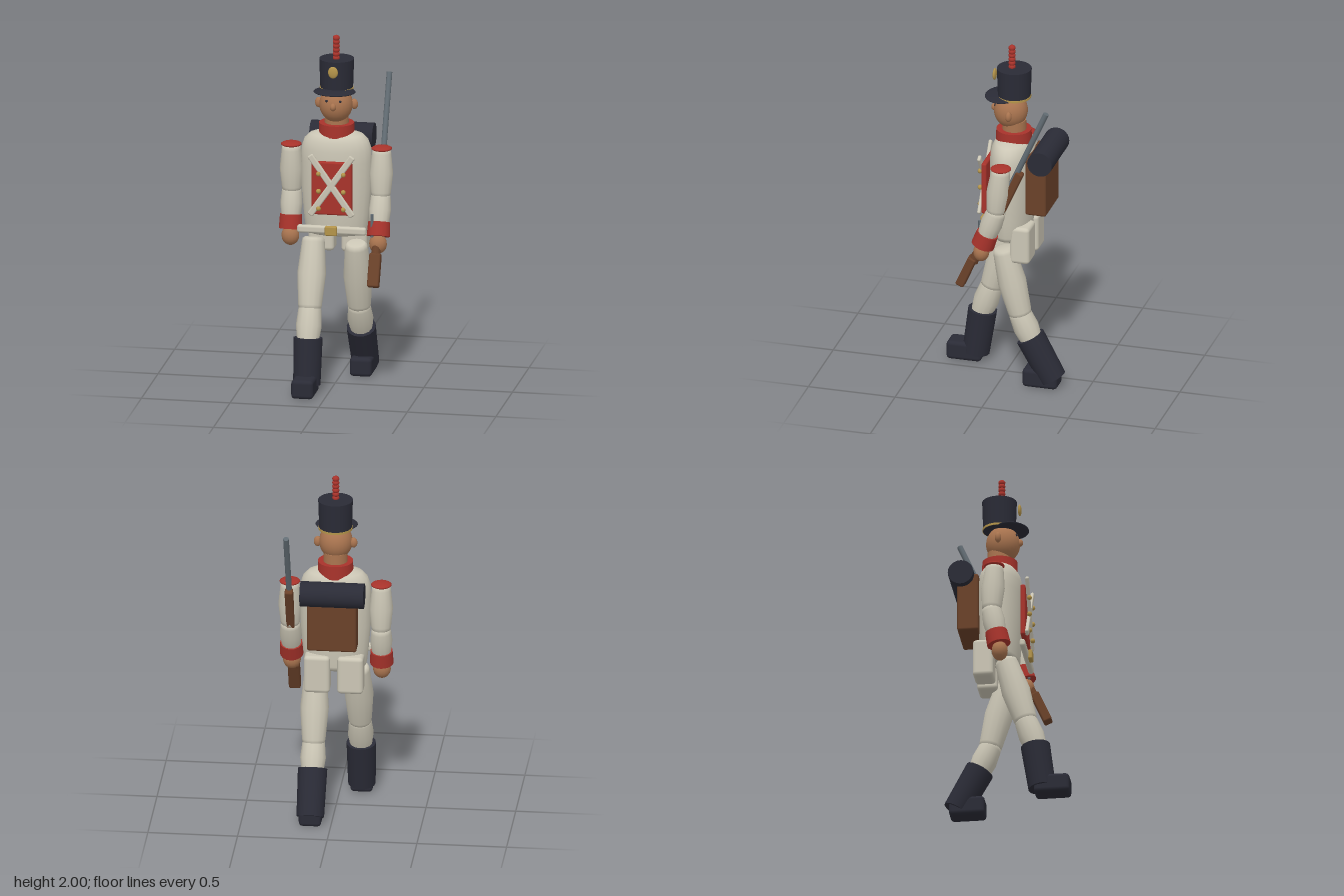
import * as THREE from 'three';
import { RoundedBoxGeometry } from 'three/addons/geometries/RoundedBoxGeometry.js';

const mat = (name, color) => Object.assign(new THREE.MeshStandardMaterial({ color }), { name });
const V = (x, y, z) => new THREE.Vector3(x, y, z);
const UP = V(0, 1, 0);

export function createModel() {
  const cream = mat('cream cloth', 0xcbc6b5);
  const red = mat('red cloth', 0xa8332b);
  const navy = mat('dark navy', 0x2a2b36);
  const skin = mat('skin', 0xa9744f);
  const brown = mat('brown wood and leather', 0x6a4129);
  const gold = mat('brass', 0xb4944a);
  const steel = mat('steel', 0x626c73);

  const root = new THREE.Group();
  root.name = 'toySoldier';

  const add = (name, geometry, material, [x, y, z], parent = root) => {
    const mesh = new THREE.Mesh(geometry, material);
    mesh.name = name;
    mesh.position.set(x, y, z);
    parent.add(mesh);
    return mesh;
  };
  const box = (name, material, [w, h, d], pos, r = 0.01, parent = root) =>
    add(name, new RoundedBoxGeometry(w, h, d, 2, Math.min(r, w / 2.1, h / 2.1, d / 2.1)), material, pos, parent);
  const ball = (name, material, [rx, ry, rz], pos, seg = 16) =>
    add(name, new THREE.SphereGeometry(1, seg, Math.round(seg * 0.75)).scale(rx, ry, rz), material, pos);
  const cyl = (name, material, rTop, rBottom, h, pos, seg = 24, parent = root) =>
    add(name, new THREE.CylinderGeometry(rTop, rBottom, h, seg), material, pos, parent);
  const lathe = (points, seg) =>
    new THREE.LatheGeometry(points.map(([r, y]) => new THREE.Vector2(r, y)), seg);

  // Turns a mesh built along y so that it is centred between a and b
  const span = (mesh, a, b) => {
    mesh.position.copy(a).add(b).multiplyScalar(0.5);
    mesh.quaternion.setFromUnitVectors(UP, b.clone().sub(a).normalize());
    return mesh;
  };
  // Padded limb segment with rounded ends; r0 at a, rm in the middle, r1 at b
  const limb = (name, material, a, b, r0, rm, r1) => {
    const h = a.distanceTo(b) / 2;
    const e = Math.min(0.02, h * 0.3);
    const g = lathe([[0, -h], [r0 * 0.75, -h], [r0 * 0.95, -h + e * 0.5], [r0, -h + e * 1.4], [rm, 0],
      [r1, h - e * 1.4], [r1 * 0.95, h - e * 0.5], [r1 * 0.75, h], [0, h]], 14);
    return span(add(name, g, material, [0, 0, 0]), a, b);
  };
  const tube = (name, material, a, b, ra, rb) =>
    span(cyl(name, material, rb, ra, a.distanceTo(b), [0, 0, 0], 16), a, b);

  // Torso
  const torso = lathe([[0, 0.865], [0.165, 0.865], [0.175, 0.89], [0.185, 0.98], [0.197, 1.12], [0.2, 1.28],
    [0.197, 1.35], [0.18, 1.4], [0.15, 1.43], [0.1, 1.447], [0, 1.455]], 24).scale(1, 1, 0.62);
  add('torso', torso, cream, [0, 0, -0.04]);

  // Collar, neck and head
  cyl('collar', red, 0.098, 0.1, 0.085, [0, 1.452, -0.043]);
  cyl('neck', skin, 0.066, 0.068, 0.1, [0, 1.5, -0.045]);
  ball('head', skin, [0.093, 0.103, 0.095], [0, 1.605, -0.025], 24);
  ball('nose', skin, [0.018, 0.022, 0.02], [0, 1.61, 0.068], 12);
  for (const s of [-1, 1]) {
    ball('ear', skin, [0.022, 0.03, 0.018], [s * 0.1, 1.605, -0.04], 12);
    ball('eye', navy, [0.009, 0.007, 0.005], [s * 0.038, 1.64, 0.055], 8);
  }

  // Tall cap with brim, band, badge and plume
  cyl('cap', navy, 0.097, 0.091, 0.175, [0, 1.775, -0.045]);
  cyl('capBand', gold, 0.0945, 0.0945, 0.012, [0, 1.694, -0.045]);
  ball('brim', navy, [0.118, 0.014, 0.1], [0, 1.688, 0.02], 24);
  ball('capBadge', gold, [0.028, 0.034, 0.01], [0, 1.81, 0.068], 16);
  for (let i = 0; i < 6; i++) ball('plumeBead', red, [0.02, 0.017, 0.02], [0, 1.868 + i * 0.023, -0.032], 12);

  // Chest panel, crossed straps and buttons
  box('chestPanel', red, [0.228, 0.305, 0.03], [0, 1.152, 0.1]);
  for (const s of [-1, 1]) {
    box('crossStrap', cream, [0.036, 0.42, 0.02], [0, 1.172, 0.124], 0.008).rotation.z = s * 0.61;
    for (const y of [1.04, 1.14, 1.24]) ball('button', gold, [0.014, 0.014, 0.014], [s * 0.07, y, 0.132], 10);
  }

  // Waist belt
  box('belt', cream, [0.39, 0.045, 0.032], [0, 0.914, 0.107], 0.014);
  box('buckle', gold, [0.068, 0.055, 0.025], [0, 0.914, 0.13], 0.008);

  // Arms: z of the elbow, wrist and hand on each side
  for (const [s, side, ze, zw, zh] of [[-1, 'right', -0.055, -0.025, -0.01], [1, 'left', -0.012, 0.045, 0.072]]) {
    const x = s * 0.255;
    const shoulder = V(x, 1.355, -0.04), elbow = V(x, 1.085, ze), wrist = V(x, 0.93, zw);
    limb(side + 'UpperArm', cream, shoulder, elbow, 0.054, 0.066, 0.056);
    const along = wrist.clone().sub(elbow).normalize();
    limb(side + 'Forearm', cream, elbow.clone().addScaledVector(along, -0.02), wrist, 0.056, 0.062, 0.055);
    const cuffTop = wrist.clone().addScaledVector(along, -0.025);
    tube(side + 'Cuff', red, cuffTop, cuffTop.clone().addScaledVector(along, 0.08), 0.062, 0.066);
    ball(side + 'Hand', skin, [0.05, 0.056, 0.045], [x, 0.838, zh]);
    ball(side + 'Epaulette', red, [0.058, 0.015, 0.058], [x, 1.357, -0.04]);
  }

  // Legs in mid stride: hip, knee, boot top, boot bottom, foot
  const legs = [
    ['right', -0.121, [0.84, 0.005], [0.45, 0.122], [0.305, 0.172], [0.045, 0.21], 0.268],
    ['left', 0.115, [0.81, -0.015], [0.41, -0.115], [0.285, -0.17], [0.048, -0.3], -0.238],
  ];
  for (const [side, x, hip, knee, top, low, footZ] of legs) {
    const [h, k, t, l] = [hip, knee, top, low].map(([y, z]) => V(x, y, z));
    limb(side + 'Thigh', cream, h, k, 0.064, 0.08, 0.066);
    const shinDir = t.clone().sub(k).normalize();
    limb(side + 'Shin', cream, k.clone().addScaledVector(shinDir, -0.03),
      t.clone().addScaledVector(shinDir, 0.05), 0.064, 0.072, 0.06);
    tube(side + 'Boot', navy, t, l, 0.082, 0.077);
    box(side + 'Foot', navy, [0.125, 0.108, 0.2], [x, 0.054, footZ], 0.022);
  }

  // Coat tails
  for (const s of [-1, 1]) box('coatTail', cream, [0.145, 0.22, 0.115], [s * 0.093, 0.85, -0.118], 0.022);

  // Backpack with blanket roll
  box('backpack', brown, [0.275, 0.34, 0.12], [0, 1.205, -0.205], 0.012);
  cyl('blanketRoll', navy, 0.071, 0.071, 0.355, [-0.002, 1.37, -0.24]).rotation.z = Math.PI / 2;

  // Musket slanting back past the left shoulder
  const musket = new THREE.Group();
  musket.name = 'musket';
  musket.position.set(0.25, 0.61, 0.185);
  musket.rotation.x = -0.414;
  root.add(musket);
  box('butt', brown, [0.066, 0.19, 0.05], [0, 0.1, 0.014], 0.01, musket);
  cyl('grip', brown, 0.02, 0.028, 0.16, [0, 0.25, 0.005], 12, musket);
  box('foreStock', brown, [0.046, 0.5, 0.045], [0, 0.56, -0.012], 0.01, musket);
  cyl('barrel', steel, 0.016, 0.016, 0.86, [0, 0.785, 0.004], 12, musket);
  cyl('lock', steel, 0.009, 0.009, 0.13, [0.224, 0.945, 0.09], 10);

  return root;
}
